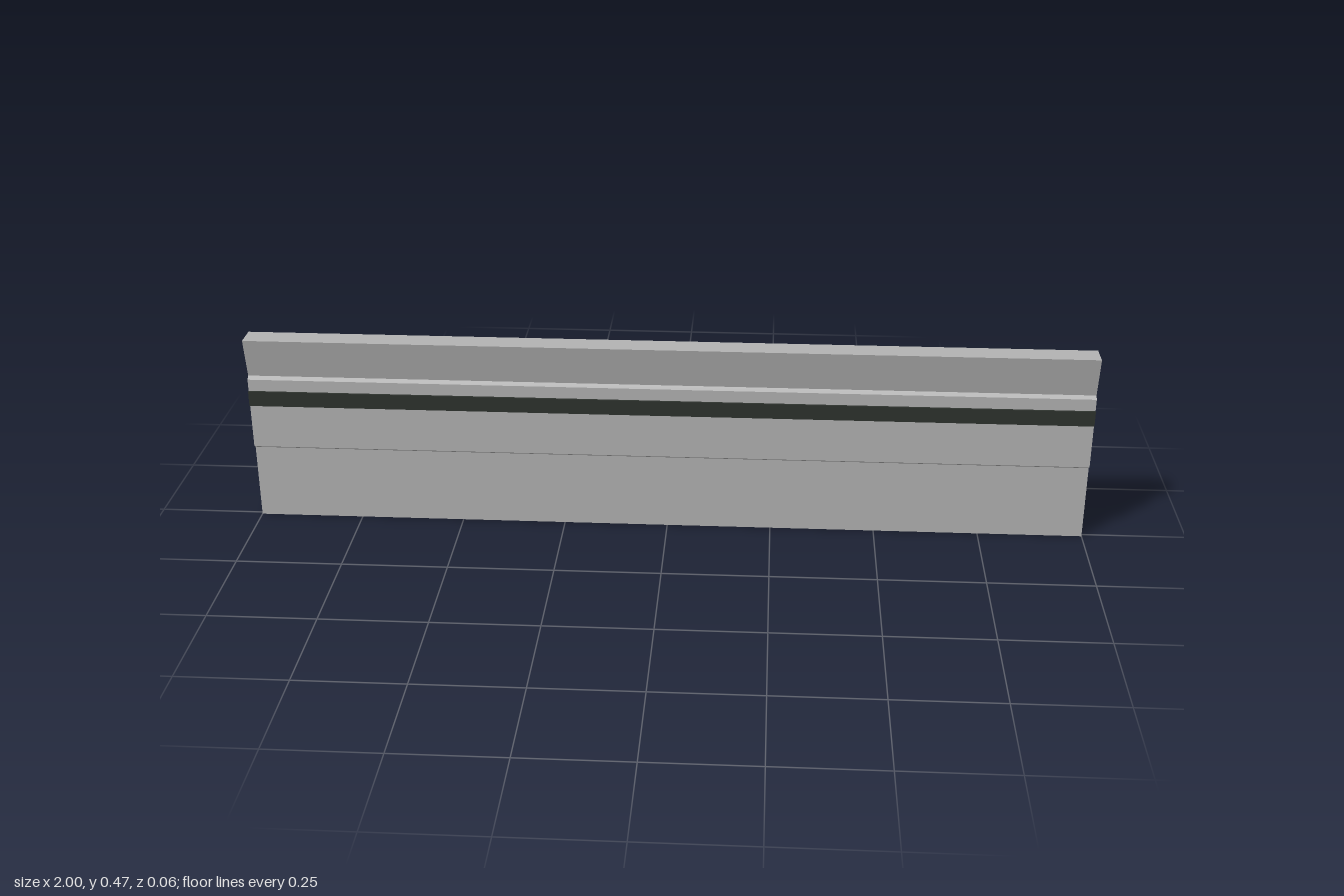
import * as THREE from 'three';

const LENGTH = 2;

export function createModel() {
  const panelGrey = new THREE.MeshStandardMaterial({ color: 0xb2b2b2 });
  panelGrey.name = 'panelGrey';
  const stripeDark = new THREE.MeshStandardMaterial({ color: 0x2d322d });
  stripeDark.name = 'stripeDark';

  const group = new THREE.Group();
  group.name = 'wallPanel';

  // Panel cross-section as (z, y): flat back, raised middle band, flared top lip
  const profile = [
    [-0.029, 0], [0.009, 0], [0.009, 0.183], [0.018, 0.189],
    [0.018, 0.364], [0.009, 0.371], [0.029, 0.468], [-0.029, 0.468],
  ];
  const shape = new THREE.Shape(profile.map(([z, y]) => new THREE.Vector2(z, y)));
  const panelGeometry = new THREE.ExtrudeGeometry(shape, { depth: LENGTH, bevelEnabled: false });
  panelGeometry.rotateY(-Math.PI / 2).translate(LENGTH / 2, 0, 0);
  const panel = new THREE.Mesh(panelGeometry, panelGrey);
  panel.name = 'panel';
  group.add(panel);

  // Dark strip standing proud of the raised band
  const stripe = new THREE.Mesh(new THREE.BoxGeometry(LENGTH, 0.037, 0.006), stripeDark);
  stripe.name = 'stripe';
  stripe.position.set(0, 0.3165, 0.0205);
  group.add(stripe);

  return group;
}
